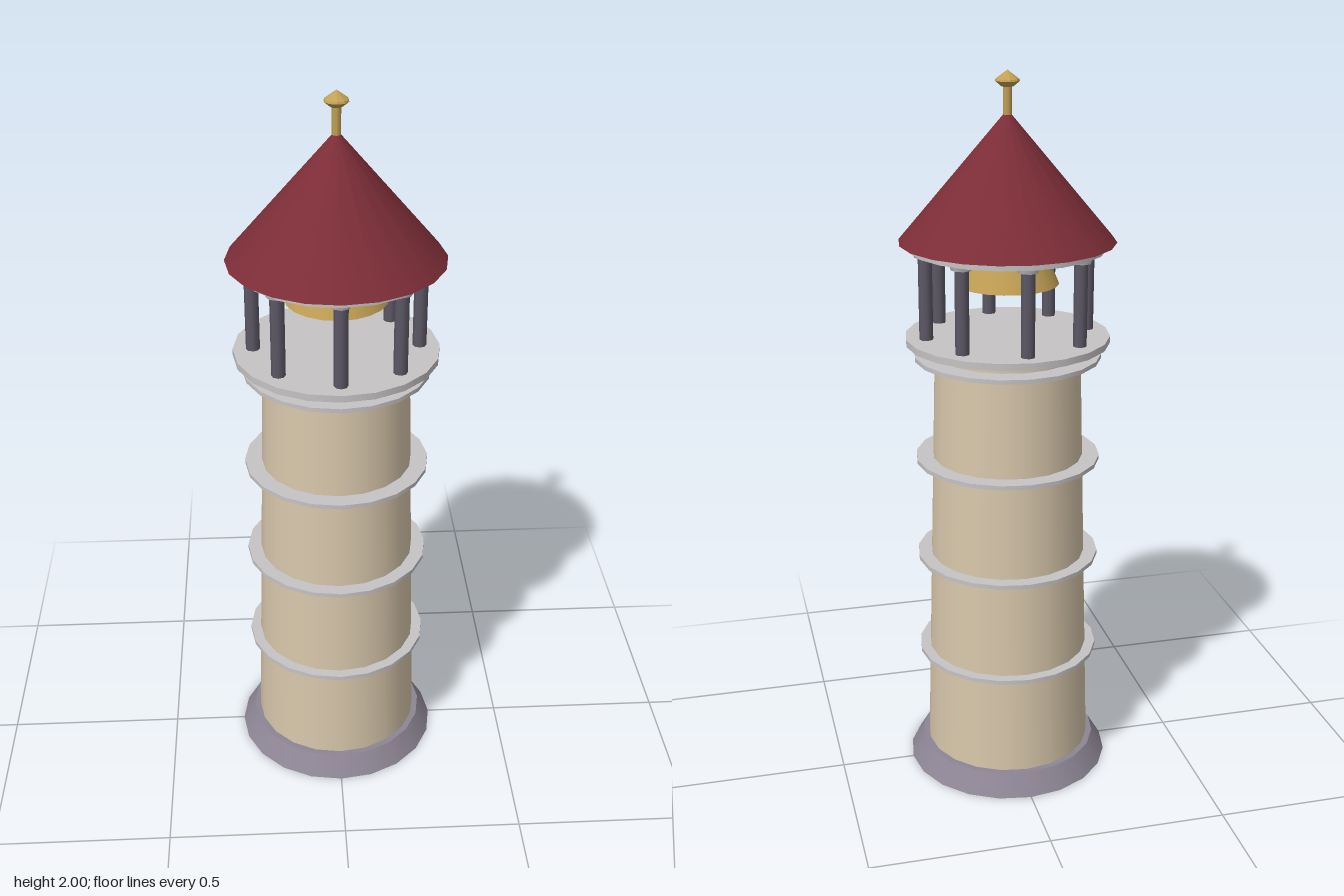
import * as THREE from 'three';

const mat = (name, color, opts = {}) => {
  const m = new THREE.MeshStandardMaterial({ color, ...opts });
  m.name = name;
  return m;
};

export function createModel() {
  const model = new THREE.Group();
  model.name = 'bellTower';

  const stone = mat('sandstone', 0xd8c7ab);
  const plinth = mat('purpleGreyStone', 0x8d8594);
  const trim = mat('paleTrim', 0xc6c3c4);
  const iron = mat('darkIron', 0x5c5866);
  const tile = mat('redRoof', 0x7c2d37, { side: THREE.DoubleSide });
  const gold = mat('brass', 0xc2a055);

  // Upright round part between two heights
  function round(name, material, rTop, rBottom, y0, y1, sides = 20, parent = model, open = false) {
    const geo = new THREE.CylinderGeometry(rTop, rBottom, y1 - y0, sides, 1, open);
    const mesh = new THREE.Mesh(geo, material);
    mesh.name = name;
    mesh.position.y = (y0 + y1) / 2;
    parent.add(mesh);
    return mesh;
  }

  // Plinth and tapering shaft
  round('base', plinth, 0.254, 0.29, 0, 0.06);
  round('shaft', stone, 0.2, 0.237, 0.06, 1.28);

  // Thin string courses around the shaft
  [0.357, 0.652, 0.945, 1.24].forEach((y, i) =>
    round('bandRing' + (i + 1), trim, 0.257, 0.257, y - 0.006, y + 0.006));

  // Belfry floor and ceiling
  round('belfryFloor', trim, 0.28, 0.28, 1.278, 1.297);
  round('belfryCeiling', trim, 0.265, 0.265, 1.535, 1.553);

  // Ring of eight columns with capitals
  for (let i = 0; i < 8; i++) {
    const a = (i * Math.PI) / 4;
    const column = new THREE.Group();
    column.name = 'column' + (i + 1);
    column.position.set(0.225 * Math.sin(a), 0, 0.225 * Math.cos(a));
    round('columnShaft', iron, 0.019, 0.019, 1.297, 1.522, 8, column);
    round('columnCapital', trim, 0.032, 0.028, 1.522, 1.535, 8, column);
    model.add(column);
  }

  // Hanging bell
  round('bell', gold, 0.1, 0.14, 1.44, 1.535);

  // Conical roof, open underneath
  round('roof', tile, 0, 0.293, 1.555, 1.9, 20, model, true);

  // Finial: rod with a faceted knob
  round('finialRod', gold, 0.012, 0.012, 1.87, 1.965, 8);
  const profile = [[0, 1.958], [0.016, 1.958], [0.033, 1.972], [0.031, 1.977], [0, 2]]
    .map(([x, y]) => new THREE.Vector2(x, y));
  const knobGeo = new THREE.LatheGeometry(profile, 10).toNonIndexed();
  knobGeo.computeVertexNormals();
  const knob = new THREE.Mesh(knobGeo, gold);
  knob.name = 'finialKnob';
  model.add(knob);

  return model;
}
